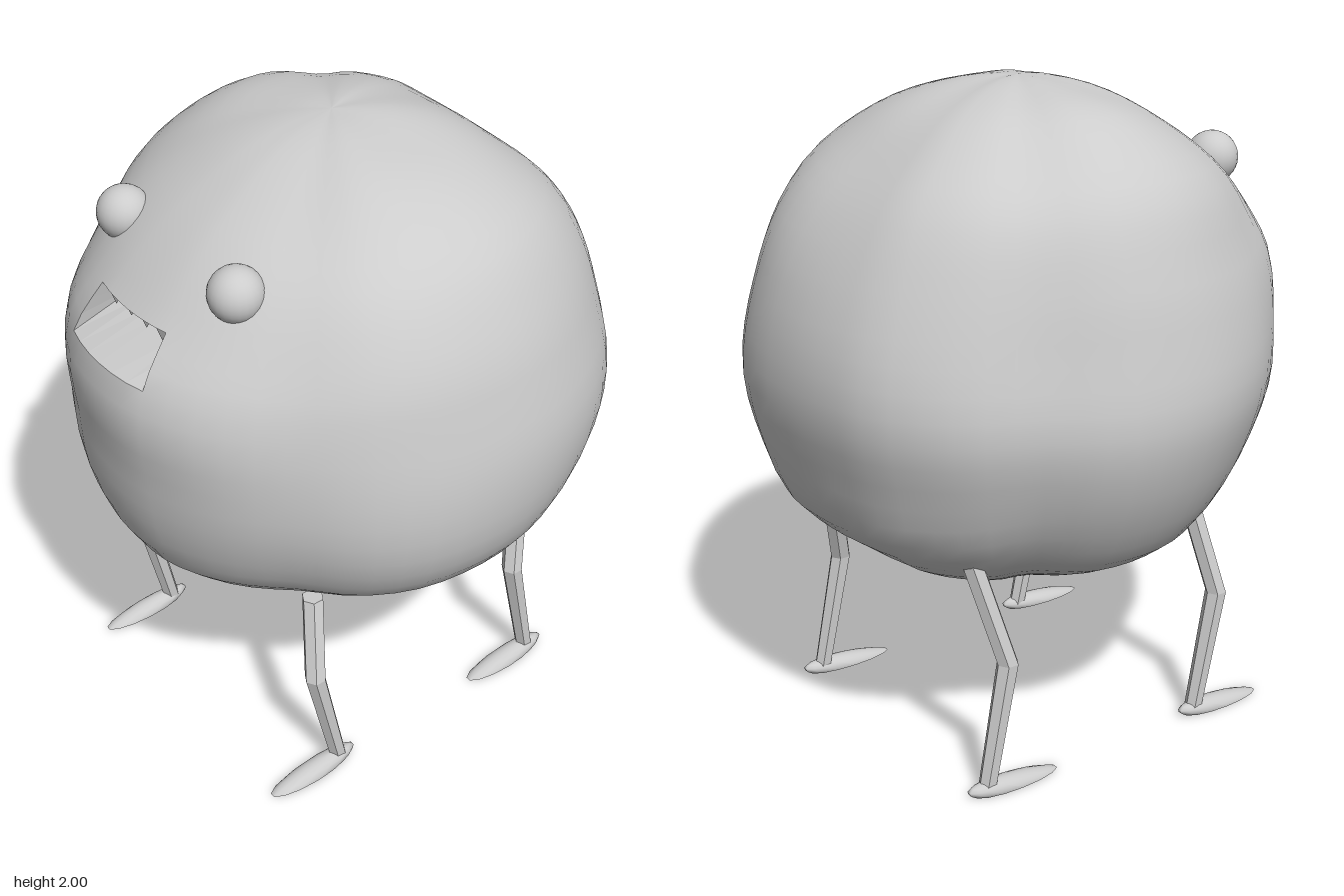
import * as THREE from 'three';

const grey = new THREE.MeshStandardMaterial({ color: 0xcccccc });
grey.name = 'grey';
const greyFlat = grey.clone();
greyFlat.flatShading = true;
greyFlat.side = THREE.DoubleSide;

const CY = 1.24; // height of the body centre
const RAD = Math.PI / 180;

// Turns outline points into a softened radius-by-angle lookup
function polar(points) {
  const p = points.map(([a, b]) => [Math.atan2(a, b), Math.hypot(a, b)]).sort((m, n) => m[0] - n[0]);
  const at = (t) => {
    if (t <= p[0][0]) return p[0][1];
    for (let i = 1; i < p.length; i++) {
      if (t <= p[i][0]) {
        const k = (t - p[i - 1][0]) / (p[i][0] - p[i - 1][0]);
        return p[i - 1][1] + k * (p[i][1] - p[i - 1][1]);
      }
    }
    return p[p.length - 1][1];
  };
  return (t) => (at(t - 0.07) + 2 * at(t) + at(t + 0.07)) / 4;
}
const profile = (pts) => polar([[0, 0.48], ...pts, [0, 2]].map(([h, y]) => [y - CY, h]));

// Vertical profiles (distance out, height) and the outline from above (x, z)
const front = profile([[0.15, 0.48], [0.4, 0.58], [0.6, 0.7], [0.72, 0.8], [0.78, 0.95], [0.81, 1.2], [0.83, 1.38],
  [0.81, 1.48], [0.7, 1.62], [0.6, 1.73], [0.4, 1.87], [0.2, 1.97]]);
const back = profile([[0.2, 0.48], [0.4, 0.56], [0.6, 0.68], [0.73, 0.78], [0.78, 0.95], [0.83, 1.15], [0.82, 1.27],
  [0.77, 1.45], [0.65, 1.68], [0.5, 1.81], [0.35, 1.92], [0.15, 1.99]]);
const left = profile([[0.1, 0.48], [0.25, 0.5], [0.4, 0.59], [0.55, 0.7], [0.7, 0.8], [0.78, 0.95], [0.81, 1.2],
  [0.77, 1.4], [0.7, 1.64], [0.62, 1.78], [0.4, 1.92], [0.23, 1.97]]);
const right = profile([[0.2, 0.5], [0.42, 0.58], [0.62, 0.68], [0.69, 0.8], [0.76, 0.95], [0.81, 1.13], [0.77, 1.35],
  [0.72, 1.55], [0.65, 1.75], [0.55, 1.84], [0.4, 1.94], [0.2, 1.98]]);
const outline = polar([[0, -0.83], [0.17, -0.82], [0.35, -0.77], [0.52, -0.66], [0.66, -0.5], [0.76, -0.3],
  [0.81, 0.05], [0.78, 0.25], [0.7, 0.42], [0.55, 0.57], [0.35, 0.74], [0.15, 0.82], [0, 0.83], [-0.2, 0.8],
  [-0.4, 0.7], [-0.6, 0.5], [-0.73, 0.3], [-0.8, 0.1], [-0.81, -0.05], [-0.79, -0.2], [-0.66, -0.42],
  [-0.58, -0.6], [-0.35, -0.78], [-0.2, -0.81], [-1e-6, -0.83]]);

// Point on the lumpy body; longitude 0 is the front, +90 degrees the model's left
function surface(lon, lat) {
  const c = Math.cos(lon), s = Math.sin(lon);
  const base = c * c * (c > 0 ? front : back)(lat) + s * s * (s > 0 ? left : right)(lat);
  const stretch = outline(lon) / (0.83 * c * c + 0.81 * s * s);
  const lump = 0.007 * Math.sin(4 * lon + 3 * lat) * Math.sin(5 * lat + 1) * Math.cos(lat);
  const r = base * (1 + (stretch - 1) * Math.cos(lat)) + lump;
  return new THREE.Vector3(r * Math.cos(lat) * s, CY + r * Math.sin(lat), r * Math.cos(lat) * c);
}

// Evenly divided runs between grid stops, [end, steps]
function steps(start, runs) {
  const out = [start];
  let from = start;
  for (const [end, n] of runs) {
    for (let i = 1; i <= n; i++) out.push(from + ((end - from) * i) / n);
    from = end;
  }
  return out.map((d) => d * RAD);
}

const MOUTH = { lon: 13.2, low: 16.8, high: 28.2 };

// Body grid with the mouth opening left out
function bodyGeometry() {
  const lons = steps(-180, [[-MOUTH.lon, 28], [MOUTH.lon, 6], [180, 28]]);
  lons.pop();
  const lats = steps(-90, [[MOUTH.low, 22], [MOUTH.high, 3], [90, 14]]);
  const n = lons.length;
  const pos = [], idx = [];
  for (const lat of lats) for (const lon of lons) pos.push(...surface(lon, lat).toArray());
  for (let j = 0; j < lats.length - 1; j++) {
    for (let i = 0; i < n; i++) {
      if (j >= 22 && j < 25 && i >= 28 && i < 34) continue;
      const k = (i + 1) % n;
      const a = j * n + i, b = j * n + k, c = b + n, d = a + n;
      if (j > 0) idx.push(a, b, c);
      if (j < lats.length - 2) idx.push(a, c, d);
      if (j === 0) idx.push(a, c, d);
      if (j === lats.length - 2) idx.push(a, b, d);
    }
  }
  const g = new THREE.BufferGeometry();
  g.setAttribute('position', new THREE.Float32BufferAttribute(pos, 3));
  g.setIndex(idx);
  g.computeVertexNormals();
  return g;
}

// Wedge-shaped mouth pocket: floor, roof and two cheeks meeting at a back line
function mouthGeometry() {
  const pos = [];
  const tri = (...v) => v.forEach((p) => pos.push(p.x, p.y, p.z));
  const lip = (t, lat) => surface(t * MOUTH.lon * RAD, lat * RAD);
  const deep = (t) => new THREE.Vector3(0.17 * t, 1.555, 0.56);
  for (let i = 0; i < 6; i++) {
    const t = i / 3 - 1, u = (i + 1) / 3 - 1;
    const [a, b] = [lip(t, MOUTH.low), lip(u, MOUTH.low)];
    const [c, d] = [lip(t, MOUTH.high), lip(u, MOUTH.high)];
    tri(a, b, deep(u), a, deep(u), deep(t));
    tri(d, c, deep(t), d, deep(t), deep(u));
  }
  for (const s of [-1, 1]) {
    for (let j = 0; j < 3; j++) {
      const h = (k) => MOUTH.low + ((MOUTH.high - MOUTH.low) * k) / 3;
      const lo = lip(s, h(j)), hi = lip(s, h(j + 1));
      if (s < 0) tri(lo, deep(s), hi);
      else tri(lo, hi, deep(s));
    }
  }
  const g = new THREE.BufferGeometry();
  g.setAttribute('position', new THREE.Float32BufferAttribute(pos, 3));
  g.computeVertexNormals();
  return g;
}

// Six-sided limb through hip, knee and ankle, closed at both ends
function legGeometry(path, radii) {
  const pos = [], idx = [], n = 6;
  path.forEach(([x, y, z], j) => {
    for (let i = 0; i < n; i++) {
      const a = (i / n) * Math.PI * 2;
      pos.push(x + radii[j] * Math.sin(a), y, z + radii[j] * Math.cos(a));
    }
  });
  for (let j = 0; j < path.length - 1; j++) {
    for (let i = 0; i < n; i++) {
      const a = j * n + i, b = j * n + ((i + 1) % n);
      idx.push(a, a + n, b + n, a, b + n, b);
    }
  }
  const top = (path.length - 1) * n;
  for (let i = 1; i < n - 1; i++) idx.push(0, i, i + 1, top, top + i + 1, top + i);
  const g = new THREE.BufferGeometry();
  g.setAttribute('position', new THREE.Float32BufferAttribute(pos, 3));
  g.setIndex(idx);
  g.computeVertexNormals();
  return g;
}

// Flat-soled foot, highest over the heel
function footGeometry() {
  const g = new THREE.SphereGeometry(1, 14, 10);
  const p = g.attributes.position;
  for (let i = 0; i < p.count; i++) {
    const y = Math.max(0, p.getY(i));
    p.setXYZ(i, p.getX(i) * 0.04, y * 0.04, p.getZ(i) * 0.15 - y * 0.09);
  }
  g.computeVertexNormals();
  return g;
}

export function createModel() {
  const model = new THREE.Group();
  model.name = 'roundCreature';
  const add = (name, geometry, material = grey) => {
    const mesh = new THREE.Mesh(geometry, material);
    mesh.name = name;
    model.add(mesh);
    return mesh;
  };

  add('body', bodyGeometry());
  add('mouth', mouthGeometry(), greyFlat);

  // Teeth hanging from the upper lip
  for (let i = 0; i < 4; i++) {
    const x = -0.114 + 0.076 * i;
    const tooth = add('tooth', new THREE.ConeGeometry(0.038, 0.055, 4), greyFlat);
    tooth.rotation.x = Math.PI;
    tooth.scale.z = 0.5;
    tooth.position.set(x, 1.59, 0.67);
  }

  for (const side of [1, -1]) {
    const word = side > 0 ? 'left' : 'right';

    // Eye set into the surface
    const eye = add(word + 'Eye', new THREE.SphereGeometry(0.08, 24, 16));
    eye.position.set(side * 0.27, 1.735, 0.53);

    // Legs and feet, the right pair standing slightly wider
    const out = side > 0 ? 0 : 0.025;
    for (const [name, hipY, hipZ, kneeZ, ankleZ, footZ] of [
      ['FrontLeg', side > 0 ? 0.65 : 0.68, 0.37, 0.42, 0.335, 0.45],
      ['BackLeg', 0.72, -0.465, -0.39, -0.47, -0.365]]) {
      const path = [[side * (0.46 + out), 0.015, ankleZ], [side * (0.455 + out), 0.4, kneeZ],
        [side * (0.38 + out), hipY, hipZ]];
      add(word + name, legGeometry(path.reverse(), [0.034, 0.034, 0.028]), greyFlat);
      const foot = add(word + name.replace('Leg', 'Foot'), footGeometry());
      foot.position.set(side * (0.462 + out), 0, footZ);
    }
  }
  return model;
}
